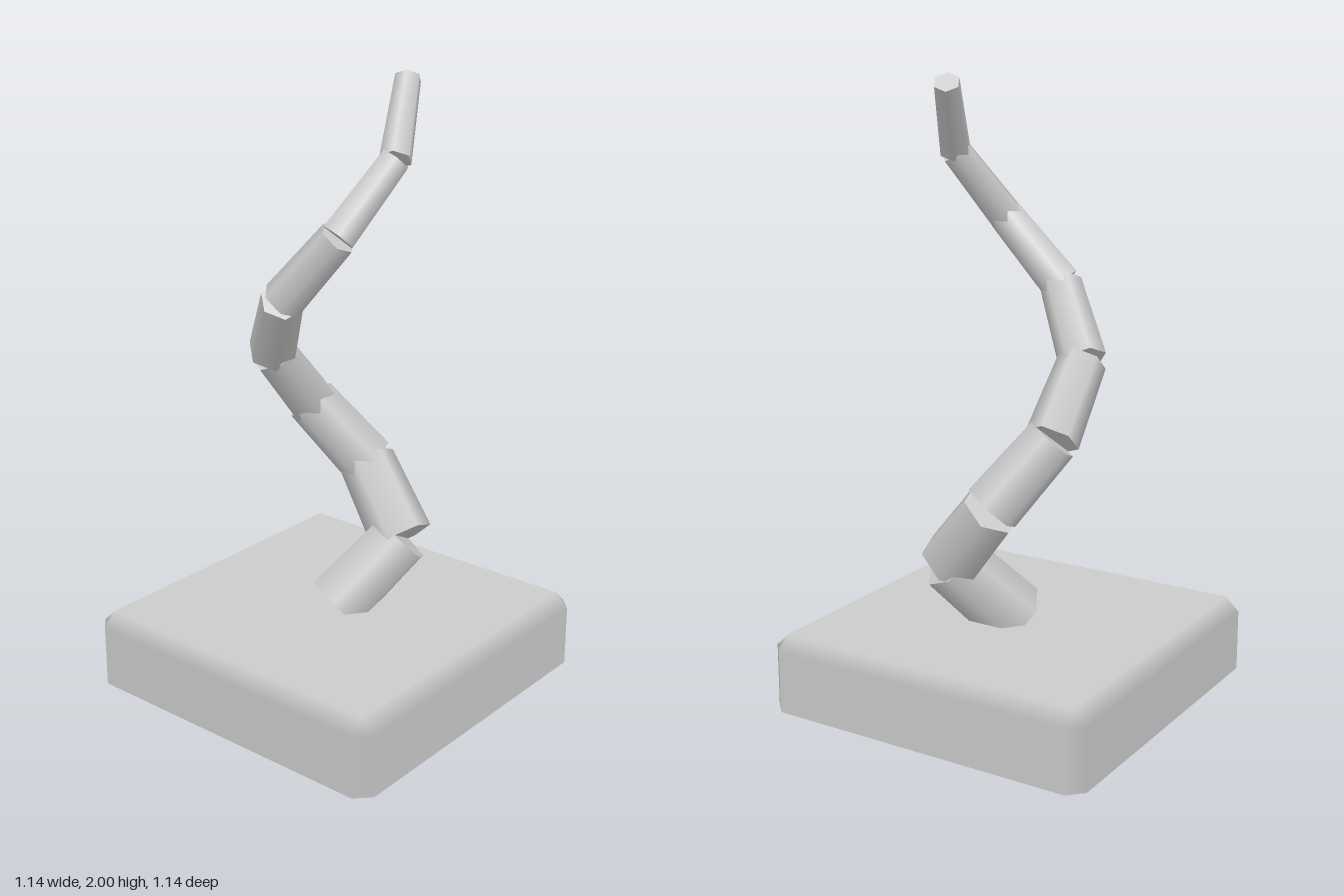
import * as THREE from 'three';

const material = new THREE.MeshStandardMaterial({ color: 0xcccccc, side: THREE.DoubleSide });

// Hollow, bottomless block with bevelled top and upright edges; bevels share
// the normals of the flat faces so they shade softly.
function baseGeometry(outer, inner, bevelY, topY) {
  const positions = [], normals = [], index = [];
  const corners = [[1, 1], [1, -1], [-1, -1], [-1, 1]];
  corners.forEach(([sx, sz], i) => {
    // the wall met first going round, then the wall met next
    const xWall = { p: [sx * outer, sz * inner], n: [sx, 0, 0] };
    const zWall = { p: [sx * inner, sz * outer], n: [0, 0, sz] };
    const walls = i % 2 ? [xWall, zWall] : [zWall, xWall];
    positions.push(sx * inner, topY, sz * inner);
    normals.push(0, 1, 0);
    for (const { p, n } of walls) {
      for (const y of [bevelY, 0]) {
        positions.push(p[0], y, p[1]);
        normals.push(...n);
      }
    }
  });
  const quad = (a, b, c, d) => index.push(a, b, c, a, c, d);
  for (let i = 0; i < 4; i++) {
    const a = i * 5, b = ((i + 1) % 4) * 5;
    index.push(a, a + 1, a + 3);             // corner facet
    quad(a + 1, a + 2, a + 4, a + 3);        // upright bevel
    quad(a, a + 3, b + 1, b);                // top bevel
    quad(a + 3, a + 4, b + 2, b + 1);        // wall
  }
  quad(0, 5, 10, 15);                        // top
  const geometry = new THREE.BufferGeometry();
  geometry.setAttribute('position', new THREE.Float32BufferAttribute(positions, 3));
  geometry.setAttribute('normal', new THREE.Float32BufferAttribute(normals, 3));
  geometry.setIndex(index);
  return geometry;
}

export function createModel() {
  const model = new THREE.Group();
  model.name = 'spiralStalkOnBase';

  const base = new THREE.Mesh(baseGeometry(0.57, 0.523, 0.205, 0.25), material);
  base.name = 'base';
  model.add(base);

  // Stalk: tapering six-sided segments joined along a helix
  const count = 8, turn = 0.9, rise = 0.2155, reach = 0.216;
  const joint = (k) => new THREE.Vector3(
    k ? reach * Math.cos(turn * k) : 0,
    0.25 + rise * k,
    k ? -reach * Math.sin(turn * k) : 0
  );
  const radius = (k) => THREE.MathUtils.lerp(0.114, 0.042, k / count);

  const stalk = new THREE.Group();
  stalk.name = 'stalk';
  for (let k = 0; k < count; k++) {
    const from = joint(k), to = joint(k + 1);
    const geometry = new THREE.CylinderGeometry(radius(k + 1), radius(k), from.distanceTo(to), 6);
    geometry.rotateX(Math.PI / 2);
    const segment = new THREE.Mesh(geometry, material);
    segment.name = `stalkSegment${k + 1}`;
    segment.position.lerpVectors(from, to, 0.5);
    segment.lookAt(to);
    stalk.add(segment);
  }
  model.add(stalk);

  return model;
}
